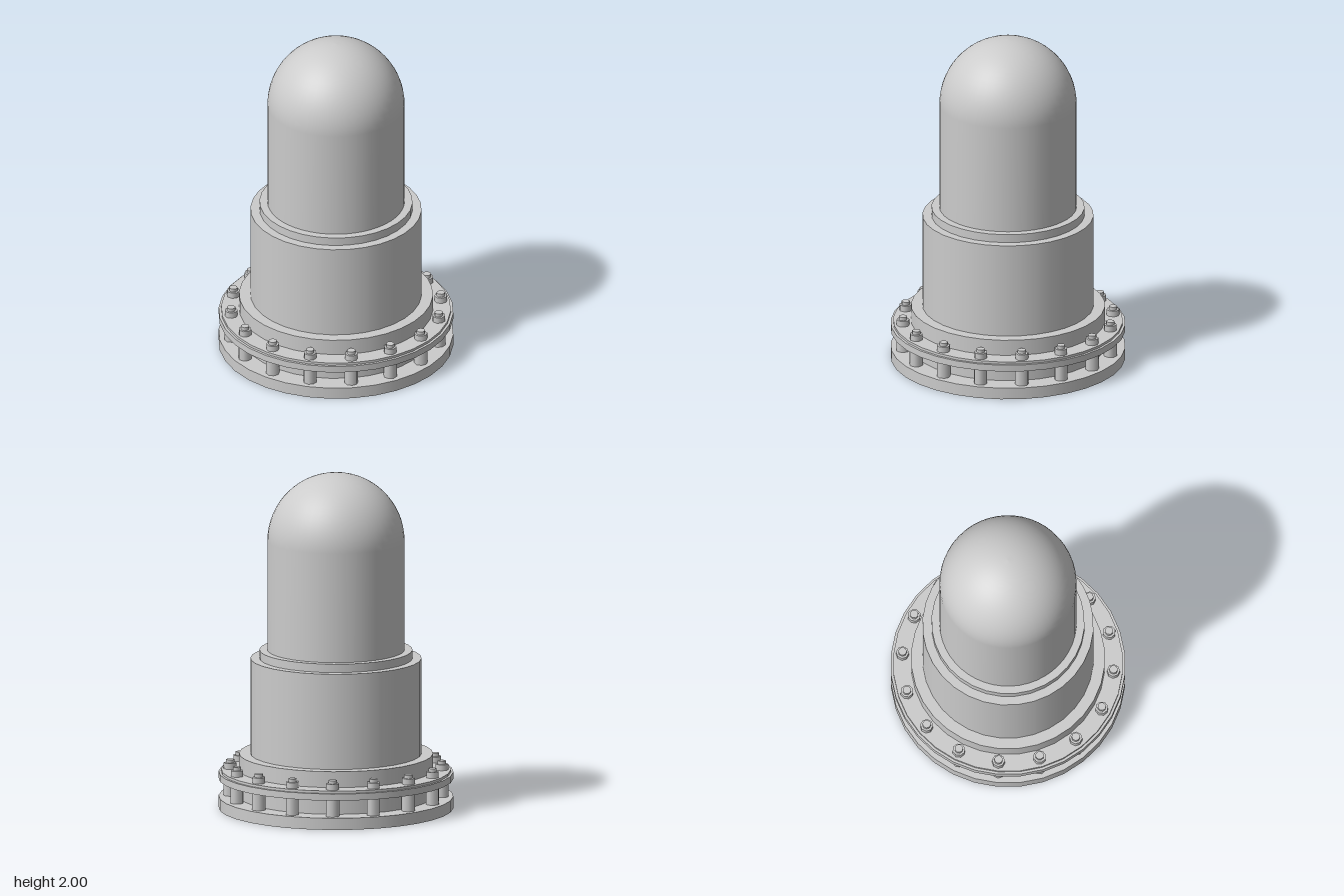
import * as THREE from 'three';

export function createModel() {
  const model = new THREE.Group();
  const material = new THREE.MeshStandardMaterial({ color: 0xcccccc });

  function add(parent, name, geometry) {
    const mesh = new THREE.Mesh(geometry, material);
    mesh.name = name;
    parent.add(mesh);
    return mesh;
  }

  // Upright cylinder between two heights
  function drum(parent, name, radius, y0, y1, sides = 32) {
    const mesh = add(parent, name, new THREE.CylinderGeometry(radius, radius, y1 - y0, sides));
    mesh.position.y = (y0 + y1) / 2;
    return mesh;
  }

  // Stepped base and housing
  drum(model, 'baseFlange', 0.69, 0, 0.07);
  drum(model, 'upperFlange', 0.69, 0.175, 0.215);
  drum(model, 'flangeLip', 0.675, 0.215, 0.23);
  drum(model, 'collar', 0.57, 0.07, 0.325);
  drum(model, 'housing', 0.503, 0.325, 0.895);
  drum(model, 'housingRim', 0.45, 0.895, 0.945);

  // Round-topped dome: straight wall and hemisphere in one profile
  const r = 0.403, centre = 2 - r;
  const profile = [new THREE.Vector2(r, 0.945)];
  for (let i = 0; i <= 16; i++) {
    const a = (i / 16) * Math.PI / 2;
    profile.push(new THREE.Vector2(i === 16 ? 0 : r * Math.cos(a), centre + r * Math.sin(a)));
  }
  add(model, 'dome', new THREE.LatheGeometry(profile, 48));

  // Ring of sixteen bolts, each with a spacer, a nut and a stud end
  for (let i = 0; i < 16; i++) {
    const bolt = new THREE.Group();
    bolt.name = 'bolt';
    const a = (i / 16) * Math.PI * 2;
    bolt.position.set(Math.sin(a) * 0.622, 0, Math.cos(a) * 0.622);
    bolt.rotation.y = a;
    drum(bolt, 'spacer', 0.04, 0.07, 0.175, 8);
    drum(bolt, 'nut', 0.038, 0.23, 0.265, 8);
    drum(bolt, 'studEnd', 0.025, 0.265, 0.285, 8);
    model.add(bolt);
  }

  return model;
}
